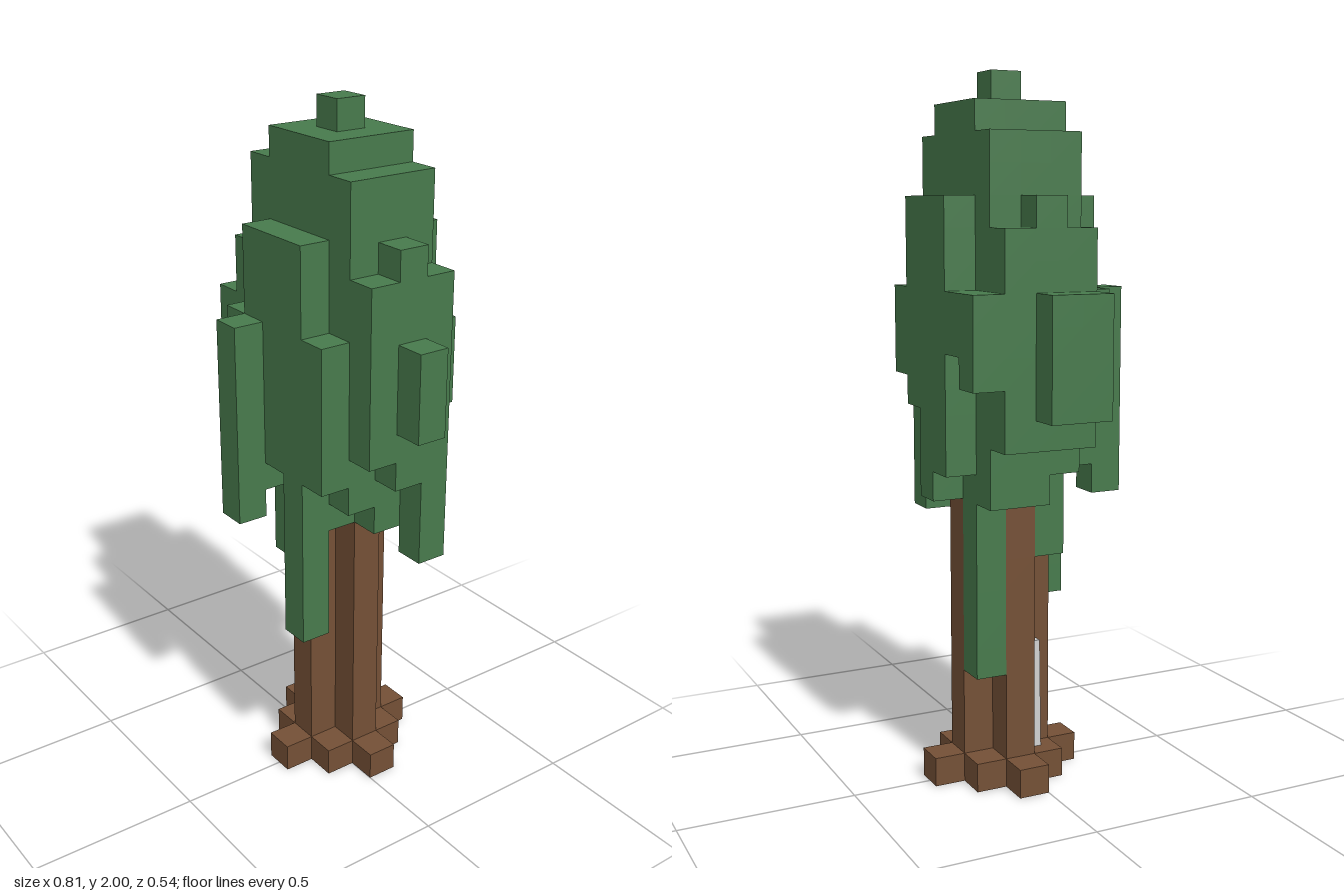
import * as THREE from 'three';

const W = 0.09, H = 1 / 12; // cell width and cell height

// Leaf columns per depth row: [first x, last x, bottom, top] in cells
const leafRows = {
  '-3': [[-3, -3, 14, 17], [-2, -2, 15, 17], [-1, -1, 11, 20], [0, 0, 10, 20], [1, 1, 13, 20], [2, 2, 14, 17]],
  '-2': [[-3, -3, 12, 19], [-2, -2, 10, 22], [-1, -1, 4, 23], [0, 1, 10, 23], [2, 2, 10, 22], [3, 3, 9, 19]],
  '-1': [[-4, -4, 13, 17], [-3, -3, 12, 20], [-2, -2, 10, 22], [-1, -1, 10, 23], [0, 0, 10, 24], [1, 1, 10, 23],
    [2, 2, 10, 22], [3, 3, 12, 20], [4, 4, 14, 17]],
  '0': [[-4, -4, 13, 17], [-3, -3, 12, 19], [-2, -2, 11, 22], [-1, -1, 8, 23], [0, 0, 12, 23], [1, 1, 10, 23],
    [2, 2, 11, 22], [3, 3, 13, 19]],
  '1': [[-2, -2, 15, 17], [-1, -1, 11, 20], [0, 0, 12, 20], [1, 1, 6, 20], [2, 2, 12, 17]],
  '2': [[-1, -1, 10, 17]],
};

const key = (x, y, z) => `${x},${y},${z}`;

function fill(cells, x, z, lo, hi) {
  for (let y = lo; y < hi; y++) cells.set(key(x, y, z), [x, y, z]);
}

// Outer faces only, leaving out those covered by a neighbouring cell
function voxelGeometry(cells, isSolid) {
  const pos = [], nor = [], index = [];
  for (const c of cells.values()) {
    for (let axis = 0; axis < 3; axis++) for (const dir of [-1, 1]) {
      const n = [0, 0, 0];
      n[axis] = dir;
      if (isSolid(c[0] + n[0], c[1] + n[1], c[2] + n[2])) continue;
      const u = (axis + 1) % 3, v = (axis + 2) % 3, first = pos.length / 3;
      for (const [a, b] of [[0, 0], [1, 0], [1, 1], [0, 1]]) {
        const p = [...c];
        if (dir > 0) p[axis]++;
        p[u] += a;
        p[v] += b;
        pos.push((p[0] - 0.5) * W, p[1] * H, p[2] * W);
        nor.push(...n);
      }
      const order = dir > 0 ? [0, 1, 2, 0, 2, 3] : [0, 2, 1, 0, 3, 2];
      index.push(...order.map((i) => first + i));
    }
  }
  const g = new THREE.BufferGeometry();
  g.setAttribute('position', new THREE.Float32BufferAttribute(pos, 3));
  g.setAttribute('normal', new THREE.Float32BufferAttribute(nor, 3));
  g.setIndex(index);
  return g;
}

export function createModel() {
  const material = (name, color) => {
    const m = new THREE.MeshStandardMaterial({ color });
    m.name = name;
    return m;
  };
  const green = material('leaf green', 0x477a4c);
  const brown = material('bark brown', 0x745036);
  const pale = material('pale grey', 0xd0d0d0);

  const model = new THREE.Group();
  model.name = 'tree';
  const add = (name, geometry, mat) => {
    const mesh = new THREE.Mesh(geometry, mat);
    mesh.name = name;
    model.add(mesh);
    return mesh;
  };

  // Leaves
  const leaves = new Map();
  for (const [z, row] of Object.entries(leafRows)) {
    for (const [x0, x1, lo, hi] of row) {
      for (let x = x0; x <= x1; x++) fill(leaves, x, +z, lo, hi);
    }
  }

  // Plus-shaped trunk and diamond-shaped roots, centred on depth row -1
  const trunk = new Map(), roots = new Map();
  for (let x = -2; x <= 2; x++) for (let d = -2; d <= 2; d++) {
    const reach = Math.abs(x) + Math.abs(d);
    if (reach <= 2) fill(roots, x, d - 1, 0, 1);
    if (reach <= 1) fill(trunk, x, d - 1, 1, 12);
  }
  for (const k of leaves.keys()) trunk.delete(k);

  const isSolid = (x, y, z) => [leaves, trunk, roots].some((s) => s.has(key(x, y, z)));
  add('foliage', voxelGeometry(leaves, isSolid), green);
  add('trunk', voxelGeometry(trunk, isSolid), brown);
  add('roots', voxelGeometry(roots, isSolid), brown);

  // Small pale stake leaning in the trunk's front corner
  const stake = add('stake', new THREE.BoxGeometry(0.034, 0.33, 0.03), pale);
  stake.position.set(-0.066, 0.235, 0.03);
  stake.rotation.z = -0.03;

  return model;
}
